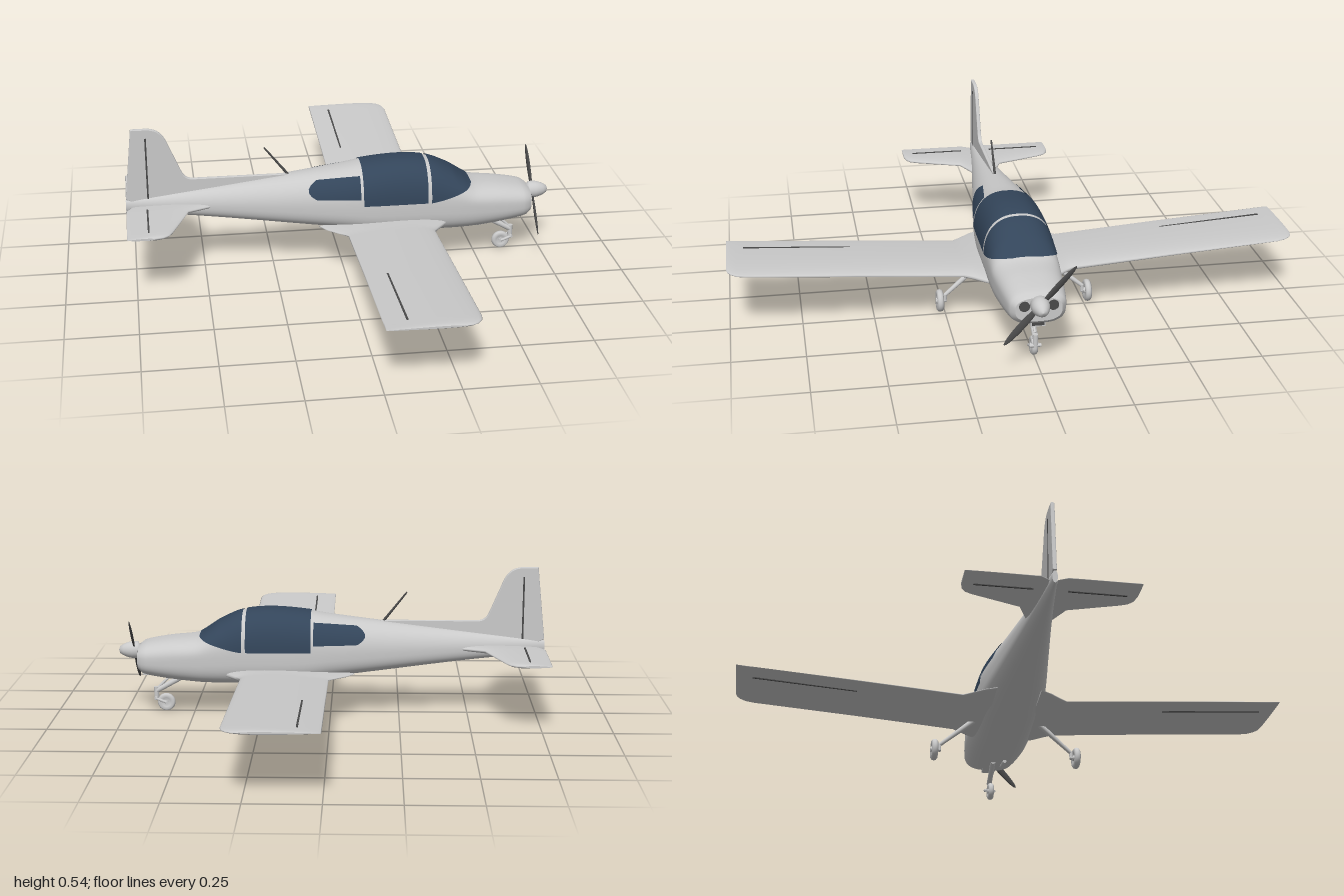
import * as THREE from 'three';

const mat = (name, color, side = THREE.FrontSide) => {
  const m = new THREE.MeshStandardMaterial({ color, side });
  m.name = name;
  return m;
};
const paint = mat('light grey paint', 0xcacaca);
const glass = mat('tinted glass', 0x33455a, THREE.DoubleSide);
const dark = mat('dark grey', 0x4a4a4a);

const V = (x, y, z) => new THREE.Vector3(x, y, z);

function add(parent, name, geometry, material) {
  const m = new THREE.Mesh(geometry, material);
  m.name = name;
  parent.add(m);
  return m;
}

// Surface from rows of points; closed rows are rings and receive end caps
function loft(rings, closed = true) {
  const n = rings[0].length, pos = [], idx = [];
  rings.forEach(r => r.forEach(p => pos.push(p.x, p.y, p.z)));
  for (let i = 0; i < rings.length - 1; i++) {
    for (let j = 0; j < (closed ? n : n - 1); j++) {
      const k = (j + 1) % n, a = i * n + j, b = a + n, c = i * n + k, d = c + n;
      idx.push(a, b, c, b, d, c);
    }
  }
  if (closed) {
    [rings[0], rings[rings.length - 1]].forEach((r, end) => {
      const base = pos.length / 3, mid = V(0, 0, 0);
      r.forEach(p => { pos.push(p.x, p.y, p.z); mid.addScaledVector(p, 1 / n); });
      pos.push(mid.x, mid.y, mid.z);
      for (let j = 0; j < n; j++) {
        const a = base + j, b = base + (j + 1) % n;
        if (end) idx.push(base + n, b, a); else idx.push(base + n, a, b);
      }
    });
  }
  const g = new THREE.BufferGeometry();
  g.setAttribute('position', new THREE.Float32BufferAttribute(pos, 3));
  g.setIndex(idx);
  g.computeVertexNormals();
  return g;
}

// Fuselage stations: x, bottom, widest height, top, half width, upper and lower roundness
const stations = [
  [-0.775, 0.230, 0.252, 0.274, 0.009, 2, 2],
  [-0.5, 0.203, 0.25, 0.306, 0.042, 2, 2.4],
  [-0.2, 0.168, 0.245, 0.343, 0.084, 2.1, 2.8],
  [0, 0.145, 0.24, 0.367, 0.112, 2.3, 3],
  [0.1, 0.132, 0.236, 0.382, 0.119, 2.4, 3.2],
  [0.22, 0.123, 0.235, 0.39, 0.12, 2.4, 3.2],
  [0.32, 0.12, 0.235, 0.379, 0.12, 2.4, 3.2],
  [0.4, 0.12, 0.23, 0.344, 0.12, 2.4, 3.2],
  [0.44, 0.121, 0.228, 0.317, 0.119, 2.5, 3.2],
  [0.48, 0.123, 0.225, 0.293, 0.117, 2.5, 3.2],
  [0.58, 0.133, 0.215, 0.281, 0.108, 2.6, 3],
  [0.66, 0.145, 0.21, 0.268, 0.098, 2.6, 2.8],
  [0.685, 0.153, 0.21, 0.26, 0.091, 2.6, 2.8],
  [0.698, 0.166, 0.21, 0.25, 0.078, 2.6, 2.8],
];

// Smooth interpolation between stations
function section(x) {
  const S = stations, last = S.length - 1;
  let i = 0;
  while (i < last - 1 && x > S[i + 1][0]) i++;
  const a = S[i], b = S[i + 1], p = S[Math.max(i - 1, 0)], q = S[Math.min(i + 2, last)];
  const h = b[0] - a[0], t = (x - a[0]) / h, t2 = t * t, t3 = t2 * t;
  return a.map((v, k) => {
    const m0 = (b[k] - p[k]) / (b[0] - p[0]), m1 = (q[k] - v) / (q[0] - a[0]);
    return (2 * t3 - 3 * t2 + 1) * v + (t3 - 2 * t2 + t) * h * m0
      + (3 * t2 - 2 * t3) * b[k] + (t3 - t2) * h * m1;
  });
}

function skin(x, t, off = 0) {
  const [, yb, ym, yt, w, nt, nb] = section(x), c = Math.cos(t), s = Math.sin(t);
  const n = s >= 0 ? nt : nb, h = (s >= 0 ? yt - ym : ym - yb) + off;
  return V(x, ym + Math.sign(s) * h * Math.abs(s) ** (2 / n),
    Math.sign(c) * (w + off) * Math.abs(c) ** (2 / n));
}

// Angle at which the skin reaches height y
function angleAt(x, y) {
  const [, , ym, yt, , nt] = section(x);
  const r = Math.min(Math.max((y - ym) / (yt - ym), 0), 1);
  return Math.asin(r ** (nt / 2));
}

// Window lying on the skin between angle limits from(x) and to(x)
function pane(x0, x1, from, to) {
  const rows = [];
  for (let i = 0; i <= 24; i++) {
    const x = x0 + (x1 - x0) * i / 24, a = from(x), b = to(x), row = [];
    for (let j = 0; j <= 32; j++) row.push(skin(x, a + (b - a) * j / 32, 0.003));
    rows.push(row);
  }
  return loft(rows, false);
}

// Flying surface from sections: z, trailing x, leading x, y, thickness
function foil(sections, side) {
  return loft(sections.map(([z, xt, xl, y, th]) => {
    const ring = [];
    for (let k = 0; k < 32; k++) {
      const a = k / 32 * Math.PI * 2, c = Math.cos(a);
      ring.push(V(xt + (xl - xt) * (0.5 + 0.5 * c),
        y - th / 2 * Math.sin(a) * (0.85 + 0.4 * c), side * z));
    }
    return side > 0 ? ring : ring.reverse();
  }));
}

function rod(parent, name, a, b, r, material = paint, r2 = r) {
  const d = b.clone().sub(a);
  const m = add(parent, name, new THREE.CylinderGeometry(r2, r, d.length(), 14), material);
  m.position.copy(a).addScaledVector(d, 0.5);
  m.quaternion.setFromUnitVectors(V(0, 1, 0), d.normalize());
  return m;
}

function wheel(parent, name, x, y, z, r, w) {
  const prof = [[0, -0.3], [0.4, -0.3], [0.5, -0.42], [0.8, -0.5], [0.95, -0.3], [1, 0],
    [0.95, 0.3], [0.8, 0.5], [0.5, 0.42], [0.4, 0.3], [0, 0.3]];
  const g = new THREE.LatheGeometry(prof.map(([a, b]) => new THREE.Vector2(a * r, b * w)), 32);
  const m = add(parent, name, g.rotateX(Math.PI / 2), paint);
  m.position.set(x, y, z);
  rod(parent, name + 'Hub', V(x, y, z - w * 0.55), V(x, y, z + w * 0.55), r * 0.25);
}

export function createModel() {
  const plane = new THREE.Group();
  plane.name = 'lightAircraft';

  // Fuselage
  const rings = [];
  for (let i = 0; i <= 90; i++) {
    const x = -0.775 + 1.473 * i / 90;
    rings.push(Array.from({ length: 56 }, (_, j) => skin(x, j / 56 * Math.PI * 2)));
  }
  add(plane, 'fuselage', loft(rings), paint);

  // Canopy, windscreen and rear side windows
  const over = low => [x => angleAt(x, low(x)), x => Math.PI - angleAt(x, low(x))];
  add(plane, 'canopy', pane(0.07, 0.304, ...over(() => 0.25)), glass);
  add(plane, 'windscreen', pane(0.317, 0.474,
    ...over(x => 0.25 + 0.042 * ((x - 0.317) / 0.157) ** 1.3)), glass);
  const round = x => Math.sqrt(Math.min((x + 0.126) / 0.03, 1));
  const low = x => angleAt(x, 0.305 - 0.03 * round(x));
  const high = x => angleAt(x, 0.305 + (0.032 + 0.09 * (x + 0.1)) * round(x));
  add(plane, 'leftRearWindow', pane(-0.125, 0.06, low, high), glass);
  add(plane, 'rightRearWindow', pane(-0.125, 0.06,
    x => Math.PI - high(x), x => Math.PI - low(x)), glass);

  // Fin with dorsal fillet
  const f = new THREE.Shape();
  f.moveTo(-0.773, 0.28);
  f.lineTo(-0.745, 0.543);
  f.lineTo(-0.69, 0.543);
  f.bezierCurveTo(-0.645, 0.54, -0.63, 0.515, -0.615, 0.475);
  f.lineTo(-0.575, 0.38);
  f.quadraticCurveTo(-0.562, 0.348, -0.535, 0.347);
  f.lineTo(-0.18, 0.346);
  f.lineTo(-0.2, 0.32);
  f.lineTo(-0.72, 0.255);
  const fin = add(plane, 'fin', new THREE.ExtrudeGeometry(f, {
    depth: 0.006, bevelEnabled: true, bevelThickness: 0.004, bevelSize: 0.003,
    bevelOffset: -0.002, bevelSegments: 3, curveSegments: 12 }), paint);
  fin.position.z = -0.003;
  const finLine = add(plane, 'rudderLine', new THREE.BoxGeometry(0.006, 0.23, 0.017), dark);
  finLine.position.set(-0.695, 0.395, 0);

  for (const s of [1, -1]) {
    const side = new THREE.Group();
    side.name = s > 0 ? 'leftSide' : 'rightSide';
    plane.add(side);

    // Wing with root fairing and rounded tip
    add(side, 'wing', foil([
      [0.08, -0.09, 0.39, 0.165, 0.046], [0.12, -0.065, 0.37, 0.166, 0.044],
      [0.16, -0.025, 0.338, 0.168, 0.042], [0.19, 0.003, 0.318, 0.17, 0.04],
      [0.56, 0.003, 0.318, 0.197, 0.03], [0.935, 0.003, 0.318, 0.222, 0.02],
      [0.965, 0.003, 0.312, 0.224, 0.019], [0.985, 0.003, 0.298, 0.2255, 0.017],
      [0.996, 0.003, 0.28, 0.226, 0.013], [1, 0.005, 0.26, 0.2265, 0.008]], s), paint);
    const line = add(side, 'aileronLine', new THREE.BoxGeometry(0.006, 0.018, 0.375), dark);
    line.position.set(0.08, 0.2095, s * 0.753);
    line.rotation.x = -s * 0.067;

    // Tailplane
    add(side, 'tailplane', foil([
      [0.014, -0.755, -0.44, 0.25, 0.024], [0.045, -0.775, -0.475, 0.25, 0.024],
      [0.078, -0.775, -0.555, 0.25, 0.023], [0.245, -0.775, -0.617, 0.25, 0.019],
      [0.27, -0.775, -0.63, 0.25, 0.018], [0.284, -0.775, -0.65, 0.25, 0.015],
      [0.29, -0.773, -0.68, 0.25, 0.009]], s), paint);
    const hinge = add(side, 'elevatorLine', new THREE.BoxGeometry(0.006, 0.021, 0.195), dark);
    hinge.position.set(-0.7, 0.25, s * 0.155);

    // Main landing gear
    rod(side, 'mainStrut', V(0.195, 0.165, s * 0.11), V(0.225, 0.06, s * 0.247), 0.011, paint, 0.007);
    rod(side, 'mainLowerLeg', V(0.225, 0.063, s * 0.247), V(0.225, 0.038, s * 0.248), 0.007);
    rod(side, 'mainAxle', V(0.225, 0.04, s * 0.243), V(0.225, 0.04, s * 0.28), 0.007);
    wheel(side, 'mainWheel', 0.225, 0.04, s * 0.266, 0.04, 0.024);

    // Cooling intake and nose wheel fork
    const intake = add(side, 'intake', new THREE.CylinderGeometry(0.018, 0.018, 0.004, 24), dark);
    intake.rotation.z = -Math.PI / 2;
    intake.position.set(0.698, 0.222, s * 0.048);
    rod(side, 'noseFork', V(0.642, 0.05, s * 0.016), V(0.605, 0.035, s * 0.016), 0.005);
  }

  // Nose landing gear
  rod(plane, 'noseLeg', V(0.54, 0.132, 0), V(0.64, 0.076, 0), 0.01);
  rod(plane, 'noseBrace', V(0.58, 0.14, 0), V(0.632, 0.09, 0), 0.005);
  rod(plane, 'nosePivot', V(0.641, 0.09, 0), V(0.641, 0.043, 0), 0.009);
  rod(plane, 'noseYoke', V(0.642, 0.05, -0.019), V(0.642, 0.05, 0.019), 0.006);
  wheel(plane, 'noseWheel', 0.605, 0.033, 0, 0.033, 0.022);

  // Chin scoop and exhaust
  const scoop = add(plane, 'chinScoop', new THREE.BoxGeometry(0.06, 0.022, 0.05), paint);
  scoop.position.set(0.655, 0.152, 0);
  const mouth = add(plane, 'scoopMouth', new THREE.BoxGeometry(0.004, 0.014, 0.04), dark);
  mouth.position.set(0.685, 0.152, 0);
  rod(plane, 'exhaust', V(0.5, 0.122, 0.04), V(0.58, 0.132, 0.04), 0.007);

  // Propeller and spinner
  const prof = [[0, 0], [0.024, 0], [0.025, 0.012], [0.031, 0.014], [0.031, 0.036],
    [0.028, 0.05], [0.022, 0.066], [0.013, 0.08], [0, 0.085]];
  const spinner = add(plane, 'spinner',
    new THREE.LatheGeometry(prof.map(p => new THREE.Vector2(...p)), 32), paint);
  spinner.rotation.z = -Math.PI / 2;
  spinner.position.set(0.69, 0.23, 0);
  const prop = new THREE.Group();
  prop.name = 'propeller';
  prop.position.set(0.717, 0.23, 0);
  prop.rotation.x = -0.733;
  plane.add(prop);
  for (const s of [1, -1]) {
    const blade = add(prop, 'blade', new THREE.SphereGeometry(1, 16, 20), dark);
    blade.scale.set(0.0045, 0.088, 0.012);
    blade.position.y = s * 0.09;
    blade.rotation.y = s * 0.25;
  }

  // Antenna
  rod(plane, 'antenna', V(-0.19, 0.342, 0), V(-0.275, 0.45, 0), 0.005, dark, 0.003);
  return plane;
}
